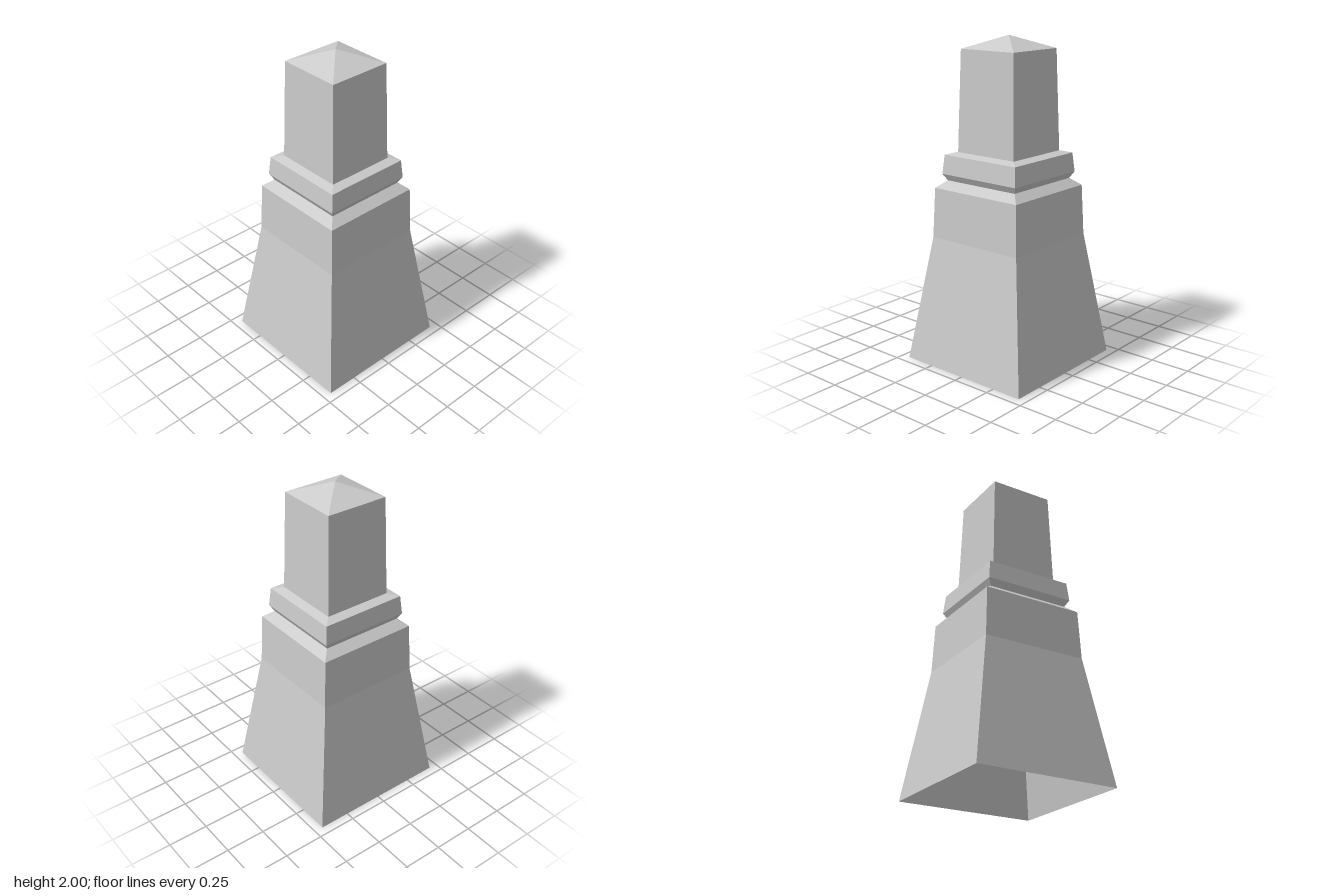
import * as THREE from 'three';

const material = new THREE.MeshStandardMaterial({
  color: 0xcccccc,
  flatShading: true,
  side: THREE.DoubleSide, // the shell is open underneath
});

// Square section swept up a profile of [half width, height] pairs
function squareTier(name, profile) {
  const points = profile.map(([half, y]) => new THREE.Vector2(half * Math.SQRT2, y));
  const geometry = new THREE.LatheGeometry(points, 4, Math.PI / 4);
  const mesh = new THREE.Mesh(geometry, material);
  mesh.name = name;
  return mesh;
}

export function createModel() {
  const model = new THREE.Group();
  model.name = 'stonePost';
  model.add(
    // Flared foot with a steeper upper block
    squareTier('base', [[0.445, 0], [0.327, 0.788], [0.315, 1.095]]),
    // Sloped shoulder running in to the groove
    squareTier('shoulder', [[0.315, 1.095], [0.26, 1.14]]),
    // Moulded band with a nearly flat top
    squareTier('collar', [[0.26, 1.14], [0.283, 1.18], [0.272, 1.297], [0.215, 1.312]]),
    // Tapered upper post
    squareTier('shaft', [[0.215, 1.312], [0.198, 1.922]]),
    // Low pyramid
    squareTier('cap', [[0.198, 1.922], [0, 2]]),
  );
  return model;
}
